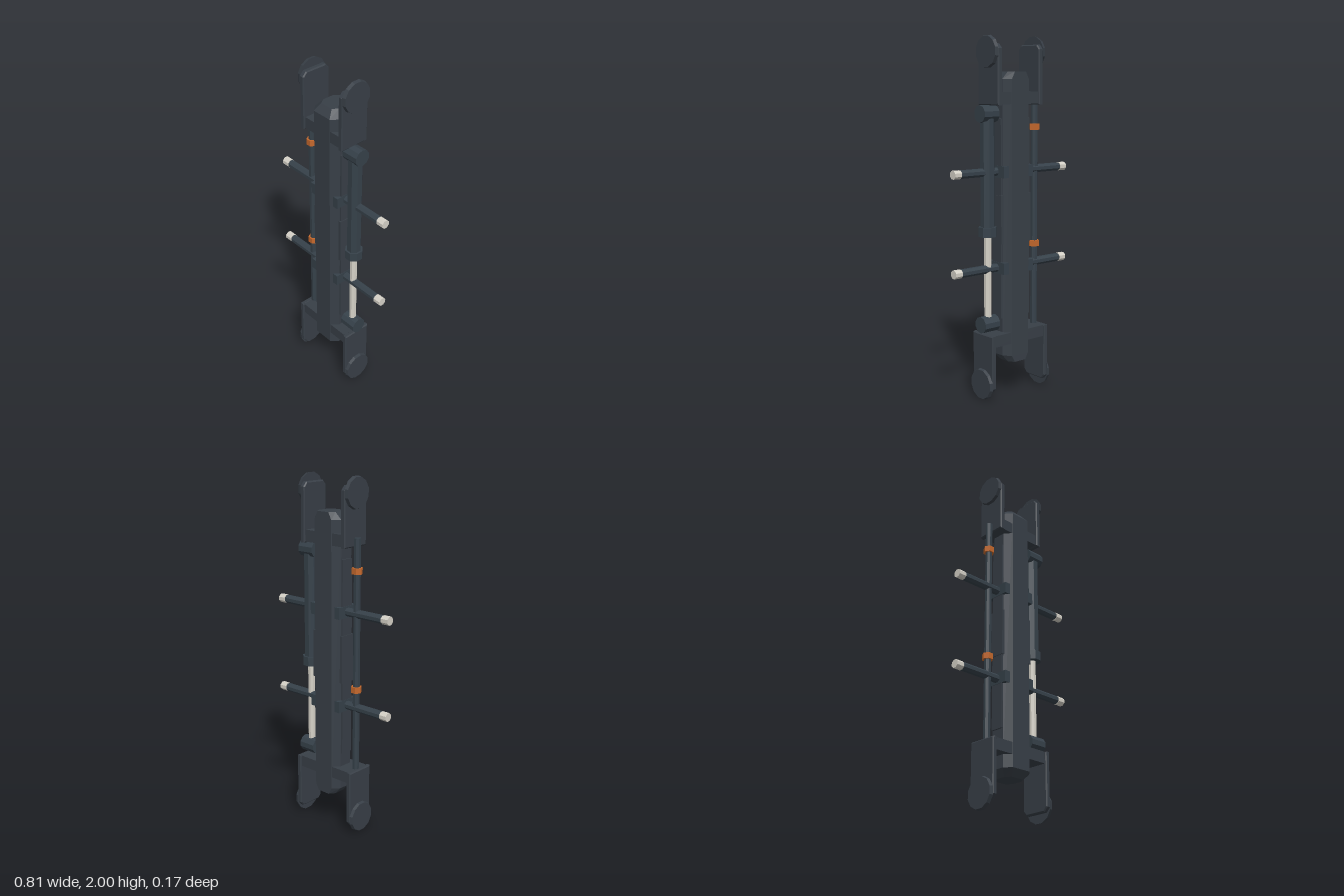
import * as THREE from 'three';

const material = (name, color) => {
  const m = new THREE.MeshStandardMaterial({ color });
  m.name = name;
  return m;
};

export function createModel() {
  const root = new THREE.Group();
  root.name = 'strut';
  const hull = material('dark slate', 0x383f47);
  const steel = material('grey green steel', 0x36414a);
  const metal = material('pale metal', 0xd6d2c8);
  const copper = material('orange', 0xc4682c);

  const add = (name, geo, mat, x = 0, y = 0, z = 0) => {
    const mesh = new THREE.Mesh(geo.index ? geo.toNonIndexed() : geo, mat);
    mesh.geometry.computeVertexNormals();
    mesh.name = name;
    mesh.position.set(x, y, z);
    root.add(mesh);
    return mesh;
  };
  const box = (name, mat, w, h, d, x, y, z = 0) =>
    add(name, new THREE.BoxGeometry(w, h, d), mat, x, y, z);
  // Upright faceted cylinder between two heights
  const post = (name, mat, r, y0, y1, x, sides = 8) => {
    const g = new THREE.CylinderGeometry(r, r, y1 - y0, sides);
    g.rotateY(sides === 6 ? Math.PI / 2 : Math.PI / sides);
    return add(name, g, mat, x, (y0 + y1) / 2);
  };
  // Faceted cylinder lying along x
  const bar = (name, mat, r0, r1, x0, x1, y, sides = 8) => {
    const g = new THREE.CylinderGeometry(r1, r0, Math.abs(x1 - x0), sides);
    g.rotateY(Math.PI / sides);
    g.rotateZ(x1 > x0 ? -Math.PI / 2 : Math.PI / 2);
    return add(name, g, mat, (x0 + x1) / 2, y);
  };

  // Main beam: octagonal section, tapered at the sides and front of both ends
  const ring = (y, w, zb, zf) => {
    const c = w * 0.37;
    const d = (zf - zb) * 0.25;
    return [[-w + c, zf], [w - c, zf], [w, zf - d], [w, zb + d],
      [w - c, zb], [-w + c, zb], [-w, zb + d], [-w, zf - d]].map(([x, z]) => [x, y, z]);
  };
  const rings = [
    ring(0.196, 0.062, -0.08, 0.047), ring(0.235, 0.095, -0.08, 0.08),
    ring(1.77, 0.095, -0.08, 0.08), ring(1.81, 0.062, -0.08, 0.047),
  ];
  const verts = [];
  const tri = (a, b, c) => verts.push(...a, ...b, ...c);
  for (let k = 0; k < 3; k++) {
    for (let i = 0; i < 8; i++) {
      const j = (i + 1) % 8;
      tri(rings[k][i], rings[k][j], rings[k + 1][j]);
      tri(rings[k][i], rings[k + 1][j], rings[k + 1][i]);
    }
  }
  for (let i = 1; i < 7; i++) {
    tri(rings[3][0], rings[3][i], rings[3][i + 1]);
    tri(rings[0][0], rings[0][i + 1], rings[0][i]);
  }
  const beam = new THREE.BufferGeometry();
  beam.setAttribute('position', new THREE.Float32BufferAttribute(verts, 3));
  add('mainBeam', beam, hull);

  // Cross brackets
  box('upperBracket', hull, 0.3, 0.065, 0.155, 0, 1.668);
  box('lowerBracket', hull, 0.39, 0.065, 0.155, 0, 0.338);

  // Fork plates with clipped free corners and a round pad on the outside
  const plateShape = new THREE.Shape([
    [-0.087, 0], [0.087, 0], [0.087, 0.3], [0.065, 0.325], [-0.065, 0.325], [-0.087, 0.3],
  ].map(([a, b]) => new THREE.Vector2(a, b)));
  const fork = (name, s, up, xIn, xOut, yBase) => {
    const t = xOut - xIn;
    const g = new THREE.ExtrudeGeometry(plateShape, {
      depth: t - 0.012, bevelEnabled: true, bevelSize: 0.006, bevelThickness: 0.006,
      bevelOffset: -0.006, bevelSegments: 1,
    });
    g.translate(0, 0, -(t - 0.012) / 2);
    g.rotateY(Math.PI / 2);
    if (up < 0) g.rotateX(Math.PI);
    add(name + 'Plate', g, hull, s * (xIn + xOut) / 2, yBase);
    const yPad = up > 0 ? 1.914 : 0.086;
    bar(name + 'Pad', hull, 0.089, 0.084, s * (xOut - 0.002), s * (xOut + 0.017), yPad, 12);
  };

  for (const s of [-1, 1]) {
    const side = s > 0 ? 'left' : 'right';
    fork(side + 'UpperFork', s, 1, 0.13, 0.161, 1.63);
    fork(side + 'LowerFork', s, -1, 0.177, 0.206, 0.372);

    // Raised side panels
    box(side + 'UpperPanel', hull, 0.02, 0.42, 0.075, s * 0.094, 1.35);
    box(side + 'MiddlePanel', hull, 0.028, 0.27, 0.09, s * 0.094, 1.005);
    box(side + 'LowerPanel', hull, 0.02, 0.42, 0.075, s * 0.094, 0.66);

    // Side pegs with pale tips
    for (const y of [0.735, 1.27]) {
      box(side + 'PegMount', steel, 0.04, 0.065, 0.135, s * 0.086, y);
      bar(side + 'Peg', steel, 0.024, 0.024, s * 0.08, s * 0.355, y);
      bar(side + 'PegEnd', steel, 0.024, 0.018, s * 0.355, s * 0.362, y);
      bar(side + 'PegTip', metal, 0.025, 0.025, s * 0.358, s * 0.403, y);
    }
  }

  // Hydraulic piston on the left
  const px = 0.168;
  bar('pistonUpperPivot', steel, 0.047, 0.047, 0.118, 0.22, 1.585, 10);
  post('pistonBarrel', steel, 0.04, 0.95, 1.57, px);
  post('pistonCollar', steel, 0.051, 0.917, 0.97, px);
  post('pistonRod', metal, 0.021, 0.43, 0.93, px);
  bar('pistonLowerPivot', steel, 0.047, 0.047, 0.118, 0.22, 0.425, 10);

  // Conduit with clamps on the right
  const cx = -0.173;
  post('conduit', steel, 0.02, 0.36, 1.68, cx);
  for (const y of [0.842, 1.505]) post('conduitClamp', copper, 0.031, y - 0.017, y + 0.017, cx, 6);

  return root;
}
